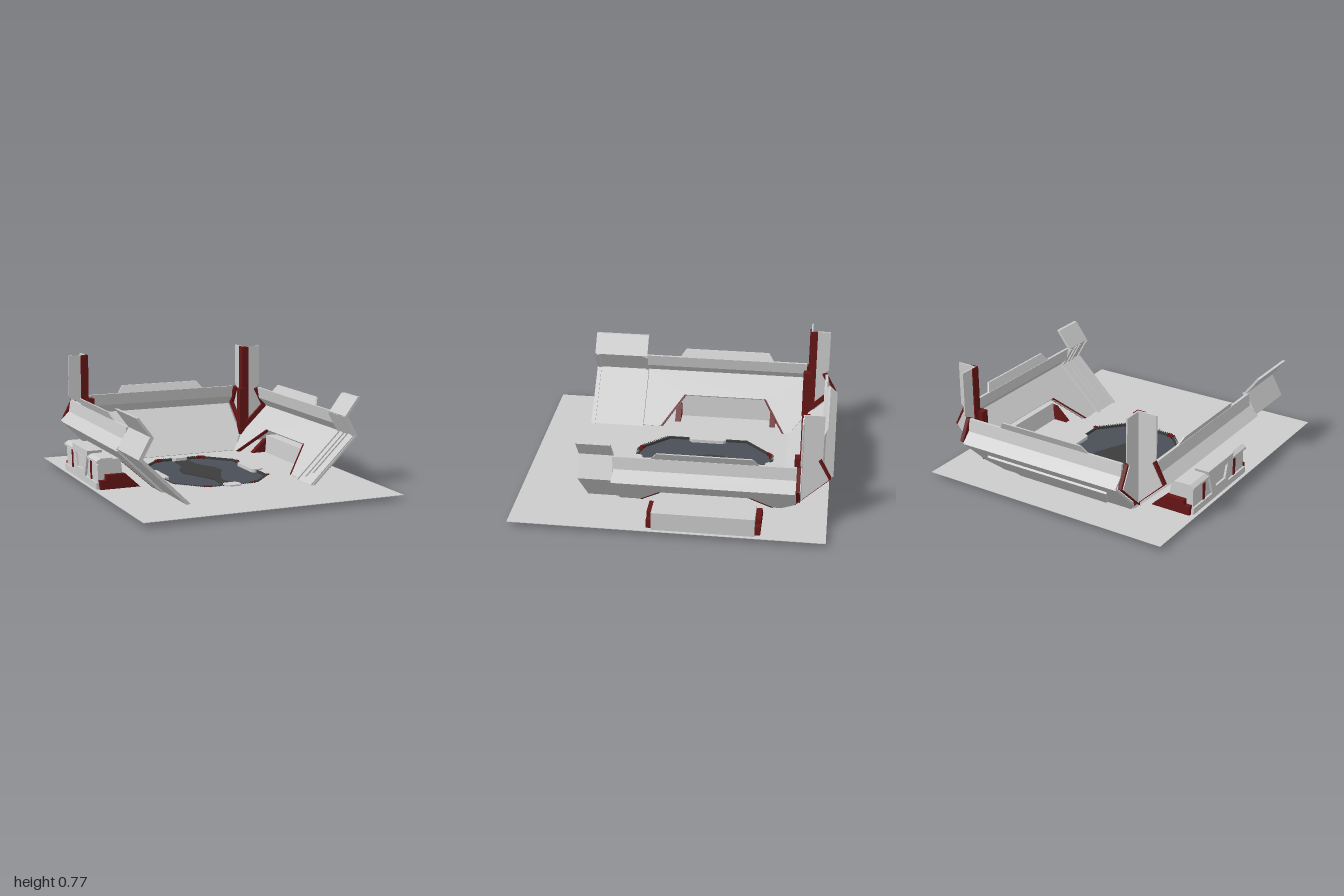
import * as THREE from 'three';

const mat = (color) => new THREE.MeshStandardMaterial({ color, flatShading: true, side: THREE.DoubleSide });
const GREY = mat(0xcccccc), RED = mat(0x661616), BLUE = mat(0x4a4f58), DARK = mat(0x3c3c3c), TEAL = mat(0x5f9a92);
const FLOOR = 0.032, GAP = 0.22;            // GAP: back wall sits 0.22 further out than the side walls
const FOOT = [0.48, 0.035], KINK = [0.785, 0.33];

function add(parent, name, geometry, material = GREY) {
  const mesh = new THREE.Mesh(geometry, material);
  mesh.name = name;
  parent.add(mesh);
  return mesh;
}

const shapeOf = (pts) => new THREE.Shape(pts.map(([x, y]) => new THREE.Vector2(x, y)));

// Prism: outline in x/y, running from z0 to z1
function prism(pts, z0, z1) {
  return new THREE.ExtrudeGeometry(shapeOf(pts), { depth: z1 - z0, bevelEnabled: false }).translate(0, 0, z0);
}

// Flat slab: outline in x/z, running from y0 to y1
function slab(pts, y0, y1, holes = []) {
  const shape = shapeOf(pts.map(([x, z]) => [x, -z]));
  holes.forEach((h) => shape.holes.push(shapeOf(h.map(([x, z]) => [x, -z]))));
  return new THREE.ExtrudeGeometry(shape, { depth: y1 - y0, bevelEnabled: false })
    .rotateX(-Math.PI / 2).translate(0, y0, 0);
}

// Folded sheet: an open profile thickened outwards
function sheet(profile, side, z0, z1, t = 0.02) {
  const back = profile.map(([d, y]) => [d + t, y]).reverse();
  return prism([...profile, ...back].map(([d, y]) => [side * d, y]), z0, z1);
}

// Panel lying in the lower slope; points are (position along wall, 0..1 up the slope)
function slopePanel(pts, side, offset = 0, t = 0.014) {
  const dx = KINK[0] - FOOT[0], dy = KINK[1] - FOOT[1], len = Math.hypot(dx, dy);
  const g = new THREE.ExtrudeGeometry(shapeOf(pts.map(([s, p]) => [s, p * len])), { depth: t, bevelEnabled: false });
  g.translate(0, 0, side > 0 ? -t - offset : offset);
  const up = new THREE.Vector3(side * dx / len, dy / len, 0), along = new THREE.Vector3(0, 0, 1);
  const m = new THREE.Matrix4().makeBasis(along, up, new THREE.Vector3().crossVectors(along, up));
  return g.applyMatrix4(m.setPosition(side * FOOT[0], FOOT[1], 0));
}

// Upper folded band and the raised, outward-leaning crest
function upperWall(group, side, z0, z1, crest0, crest1) {
  add(group, 'upperBand', sheet([KINK, [0.725, 0.39], [0.712, 0.47]], side, z0, z1, 0.018));
  const g = prism([[crest0, 0], [crest1, 0], [crest1 - 0.04, 0.055], [crest0 + 0.04, 0.055]], -0.006, 0.006);
  const m = new THREE.Matrix4().makeBasis(
    new THREE.Vector3(0, 0, 1), new THREE.Vector3(side * 0.5, 1, 0), new THREE.Vector3(-side, 0, 0));
  add(group, 'crest', g.applyMatrix4(m.setPosition(side * 0.72, 0.467, 0)));
}

// Side wall with an open bay and a heavier front panel
function sideWall(side) {
  const group = new THREE.Group();
  group.name = side > 0 ? 'leftWall' : 'rightWall';
  add(group, 'slope', slopePanel([[-0.7, 0], [-0.8, 0.33], [-0.8, 1], [0.34, 1], [0.34, 0],
    [0.2, 0], [0.05, 0.57], [-0.52, 0.57], [-0.66, 0]], side));
  upperWall(group, side, -0.8, 0.34, -0.57, 0.1);
  // Bay trim
  [[[0.2, 0], [0.05, 0.57]], [[-0.66, 0], [-0.52, 0.57]]].forEach(([[s0, p0], [s1, p1]]) =>
    add(group, 'bayTrim', slopePanel([[s0, p0], [s1, p1], [s1 + 0.012, p1], [s0 + 0.012, p0]], side, -0.004, 0.02), RED));
  // Front panel with its flared top
  const end = side > 0 ? 0.55 : 0.71;
  add(group, 'frontPanel', sheet([[0.462, 0.035], [0.77, 0.335], [0.695, 0.47], [0.785, 0.59]], side, 0.335, end, 0.02));
  const ribs = side > 0 ? [0.345, 0.405, 0.45, 0.535] : [0.345, 0.69];
  ribs.forEach((z, i) => {
    const lift = side > 0 ? [0, 0.03, 0.06, 0][i] : 0;
    add(group, 'panelRib', sheet([[0.45 + lift, 0.035 + lift], [0.757, 0.335], [0.685, 0.465]], side, z - 0.01, z + 0.01, 0.02));
  });
  return group;
}

function backWall() {
  const group = new THREE.Group();
  group.name = 'backWall';
  add(group, 'slope', slopePanel([[-0.48, 0], [0.48, 0], [0.57, 0.33], [0.57, 1], [-0.57, 1], [-0.57, 0.33]], 1));
  add(group, 'rearCladding', slopePanel([[-0.33, 0.1], [0.33, 0.1], [0.45, 0.72], [-0.45, 0.72]], 1, 0.014));
  upperWall(group, 1, -0.57, 0.57, -0.33, 0.33);
  group.rotation.y = Math.PI / 2;
  group.position.z = -GAP;
  return group;
}

// Corner post: two arms meeting at a ridge that faces the room
function cornerPost(side) {
  const post = new THREE.Group();
  post.name = side > 0 ? 'leftPost' : 'rightPost';
  const parts = [
    ['postPlate', [[0.6, 0.775], [0.733, 0.775], [0.733, 0.49], [0.705, 0.46], [0.775, 0.33], [0.6, 0.16]], 0.6, 0.61, GREY],
    ['postStripe', [[0.592, 0.775], [0.645, 0.775], [0.645, 0.2], [0.592, 0.15]], 0.592, 0.604, RED],
    ['arrowHead', [[0.56, 0.47], [0.612, 0.47], [0.612, 0.19], [0.575, 0.13], [0.56, 0.2]], 0.56, 0.6, RED],
    ['arrowBarb', [[0.575, 0.13], [0.79, 0.335], [0.72, 0.47], [0.69, 0.46], [0.75, 0.34], [0.575, 0.17]], 0.58, 0.604, RED],
  ];
  parts.forEach(([name, pts, n0, n1, m]) => {
    add(post, name, prism(pts.map(([x, y]) => [side * x, y]), -n1 - GAP, -n0 - GAP), m);
    const g = side > 0 ? prism(pts, n0, n1) : prism(pts, -n1, -n0);
    add(post, name, g.rotateY(Math.PI / 2).translate(0, 0, -GAP), m);
  });
  return post;
}

// Storage pod behind each side bay
function pod(side) {
  const group = new THREE.Group();
  group.name = side > 0 ? 'leftPod' : 'rightPod';
  const flip = (pts) => pts.map(([x, y]) => [side * x, y]);
  const z0 = -0.56, z1 = 0.085;
  [z0 - 0.035, z1 - 0.005].forEach((z) => add(group, 'podCheek', prism(flip(
    [[0.56, FLOOR], [0.83, FLOOR], [0.83, 0.09], [0.79, 0.09], [0.79, 0.125], [0.66, 0.125]]), z, z + 0.04), RED));
  if (side > 0) {
    add(group, 'podBody', prism([[0.66, FLOOR], [0.85, FLOOR], [0.85, 0.155], [0.67, 0.155]], z0, z1));
    return group;
  }
  add(group, 'podBody', prism(flip([[0.66, FLOOR], [0.835, FLOOR], [0.835, 0.19], [0.8, 0.22], [0.68, 0.22]]), z0, z1));
  add(group, 'podLip', prism(flip([[0.74, 0.2], [0.847, 0.2], [0.847, 0.215], [0.82, 0.232], [0.74, 0.232]]), z0 - 0.015, z1 + 0.015));
  add(group, 'podBase', prism(flip([[0.7, FLOOR], [0.848, FLOOR], [0.848, 0.075], [0.7, 0.075]]), z0 - 0.01, z1 + 0.01));
  // Central bracket
  const bracket = shapeOf([[-0.16, 0.25], [-0.1, 0.07], [0.1, 0.07], [0.16, 0.25]]);
  bracket.holes.push(shapeOf([[-0.09, 0.21], [-0.06, 0.11], [0.06, 0.11], [0.09, 0.21]]));
  add(group, 'podBracket', new THREE.ExtrudeGeometry(bracket, { depth: 0.1, bevelEnabled: false })
    .rotateY(-Math.PI / 2).translate(-0.75, 0, -0.237));
  [-0.43, -0.04].forEach((z) => add(group, 'podSlit',
    new THREE.BoxGeometry(0.012, 0.12, 0.025).translate(-0.834, 0.135, z), RED));
  return group;
}

const CZ = -0.145;
const octagon = (g = 0) => [[0.17, 0.455], [0.34, 0.27], [0.34, -0.27], [0.17, -0.455],
  [-0.17, -0.455], [-0.34, -0.27], [-0.34, 0.27], [-0.17, 0.455]]
  .map(([x, z]) => [x * (1 + g / 0.34), CZ + z * (1 + g / 0.455)]);

// Sunken octagonal basin in the floor
function basin() {
  const group = new THREE.Group();
  group.name = 'basin';
  add(group, 'basinUnderside', slab(octagon(-0.012), 0, 0.004), TEAL);
  add(group, 'basinBed', slab(octagon(-0.005), 0.006, 0.018), BLUE);
  add(group, 'basinRim', slab(octagon(0.003), 0.004, 0.034, [octagon(-0.007)]), DARK);
  // Sinuous ridge along the middle
  const half = [[0.05, -0.55], [0.06, -0.4], [0.13, -0.27], [0.14, -0.17], [0.06, 0.0], [0.025, 0.1], [0.05, 0.27]];
  const outline = [...half, ...half.map(([x, z]) => [-x, z]).reverse()];
  add(group, 'ridge', slab(outline, 0.016, 0.024), DARK);
  // Edge tiles
  const tile = (x, z, w, d) => {
    const c = 0.018;
    add(group, 'edgeTile', slab([[x - w + c, z - d], [x + w - c, z - d], [x + w, z - d + c], [x + w, z + d - c],
      [x + w - c, z + d], [x - w + c, z + d], [x - w, z + d - c], [x - w, z - d + c]], 0.012, 0.041));
  };
  [-1, 1].forEach((s) => {
    tile(s * 0.343, -0.143, 0.042, 0.128);
    tile(0, CZ + s * 0.462, 0.055, 0.043);
  });
  // Red corner clips and teeth around the front edges
  const pts = octagon(0.004);
  for (const i of [0, 3, 4, 7]) {
    const [x, z] = pts[i], s = Math.sign(x), f = Math.sign(z - CZ);
    add(group, 'cornerClip', slab([[x, z], [x + s * 0.025, z - f * 0.027], [x + s * 0.01, z - f * 0.04],
      [x - s * 0.008, z - f * 0.02], [x - s * 0.035, z - f * 0.02], [x - s * 0.035, z]], 0.01, 0.037), RED);
  }
  const tooth = new THREE.BoxGeometry(0.006, 0.018, 0.022);
  for (const [a, b, n] of [[0, 1, 16], [7, 0, 22], [3, 4, 22], [6, 7, 16]]) {
    const [ax, az] = pts[a], [bx, bz] = pts[b];
    for (let i = 1; i < n; i++) {
      const m = add(group, 'tooth', tooth, DARK);
      m.position.set(ax + (bx - ax) * i / n, 0.026, az + (bz - az) * i / n);
      m.rotation.y = -Math.atan2(bz - az, bx - ax);
    }
  }
  [-0.36, 0.13].forEach((z) => add(group, 'marker',
    new THREE.CylinderGeometry(0.015, 0.015, 0.026, 12).translate(0.345, 0.022, z), RED));
  return group;
}

export function createModel() {
  const model = new THREE.Group();
  model.name = 'arena';
  add(model, 'floor', slab([[-0.87, -1], [-0.87, 1], [0.87, 1], [0.87, -1]], FLOOR - 0.003, FLOOR, [octagon(0)]));
  model.add(basin(), backWall());
  [-1, 1].forEach((side) => model.add(sideWall(side), cornerPost(side), pod(side)));
  return model;
}
